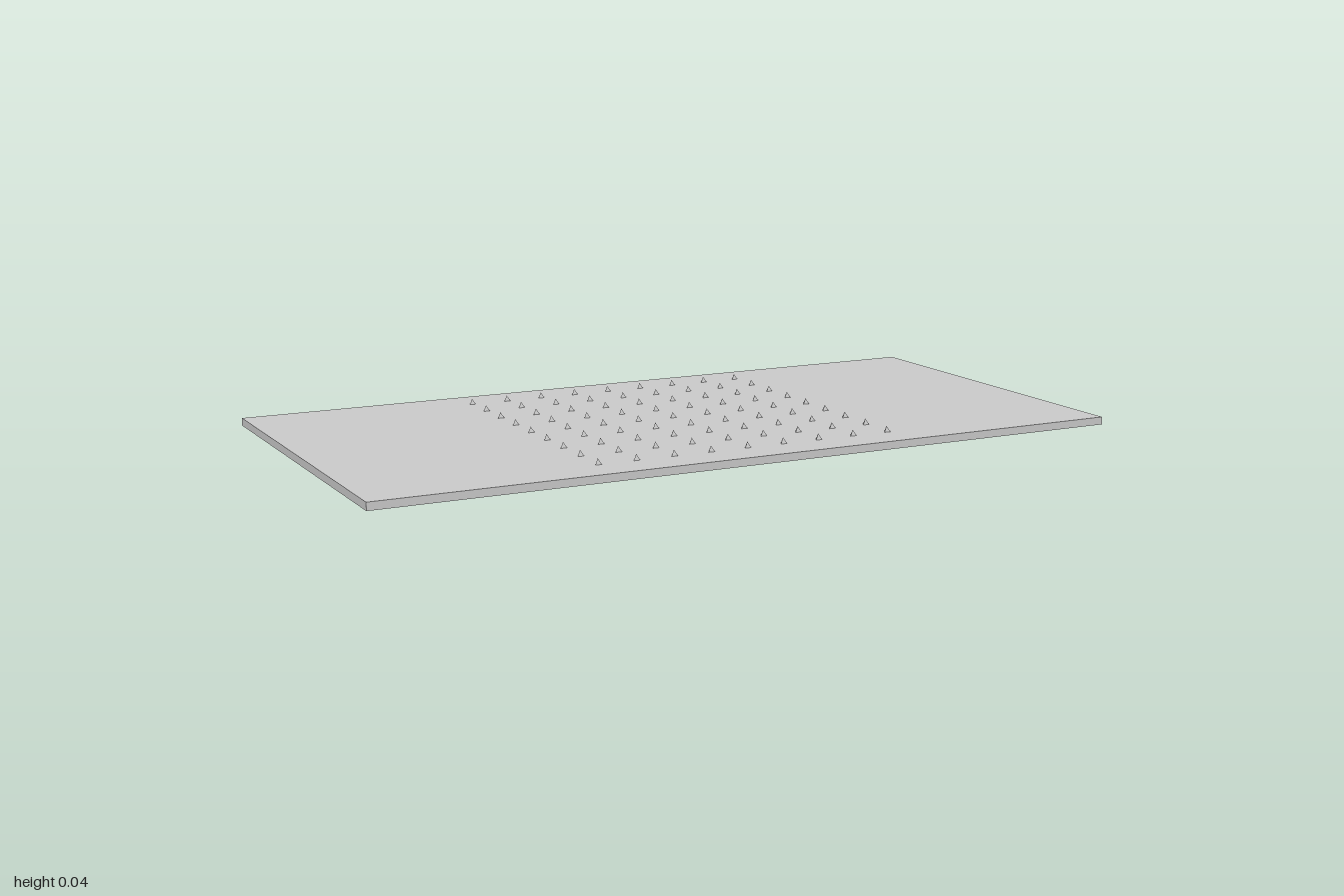
import * as THREE from 'three';

export function createModel() {
  const group = new THREE.Group();
  const material = new THREE.MeshStandardMaterial({ color: 0xcccccc, flatShading: true });
  const plateHeight = 0.02, spikeHeight = 0.015, spacing = 0.1;

  // Flat base plate
  const plate = new THREE.Mesh(new THREE.BoxGeometry(2, plateHeight, 1), material);
  plate.name = 'plate';
  plate.position.y = plateHeight / 2;
  group.add(plate);

  // 9 x 9 grid of three-sided spikes, one corner pointing to the back
  const spikes = new THREE.Group();
  spikes.name = 'spikes';
  const spikeGeometry = new THREE.ConeGeometry(0.01, spikeHeight, 3).rotateY(Math.PI);
  for (let i = -4; i <= 4; i++) {
    for (let j = -4; j <= 4; j++) {
      const spike = new THREE.Mesh(spikeGeometry, material);
      spike.name = 'spike';
      spike.position.set(i * spacing, plateHeight + spikeHeight / 2, j * spacing);
      spikes.add(spike);
    }
  }
  group.add(spikes);
  return group;
}
